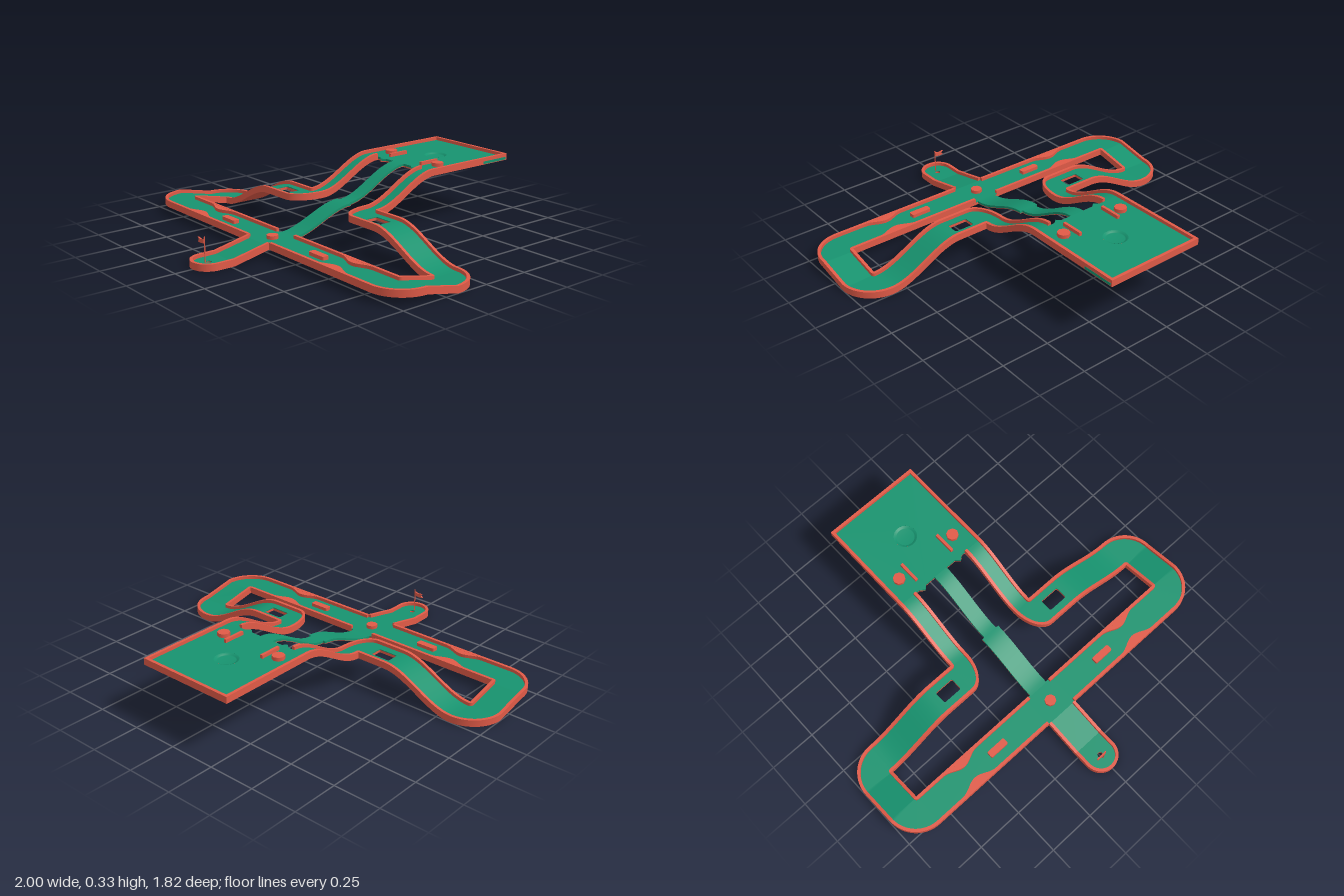
import * as THREE from 'three';

const red = new THREE.MeshStandardMaterial({ color: 0xe05a47 });
const green = new THREE.MeshStandardMaterial({ color: 0x17936f });
const greenThin = new THREE.MeshStandardMaterial({ color: 0x17936f, side: THREE.DoubleSide });

const RIM = 0.016, FLOOR = 0.018, HIGH = 0.035;   // rim width, floor and rim heights above the lane base
const smooth = (t) => t * t * (3 - 2 * t);

export function createModel() {
  const group = new THREE.Group();

  function add(name, geometry, material, x = 0, y = 0, z = 0) {
    const mesh = new THREE.Mesh(geometry, material);
    mesh.name = name;
    mesh.position.set(x, y, z);
    group.add(mesh);
    return mesh;
  }
  // box given by its limits
  const block = (name, mat, x0, x1, y0, y1, z0, z1) =>
    add(name, new THREE.BoxGeometry(x1 - x0, y1 - y0, z1 - z0), mat, (x0 + x1) / 2, (y0 + y1) / 2, (z0 + z1) / 2);

  // flat plate from an outline in x and z
  function plate(name, shape, y0, y1, mat) {
    const g = new THREE.ExtrudeGeometry(shape, { depth: y1 - y0, bevelEnabled: false, curveSegments: 24 });
    g.rotateX(Math.PI / 2);
    return add(name, g, mat, 0, y1, 0);
  }
  const outline = (pts) => new THREE.Shape(pts.map(([x, z]) => new THREE.Vector2(x, z)));
  const rect = (x0, x1, z0, z1) => outline([[x0, z0], [x1, z0], [x1, z1], [x0, z1]]);
  function roundRect(x0, x1, z0, z1, r) {
    const s = new THREE.Shape();
    s.absarc(x1 - r, z1 - r, r, 0, Math.PI / 2);
    s.absarc(x0 + r, z1 - r, r, Math.PI / 2, Math.PI);
    s.absarc(x0 + r, z0 + r, r, Math.PI, Math.PI * 1.5);
    s.absarc(x1 - r, z0 + r, r, Math.PI * 1.5, Math.PI * 2);
    return s;
  }

  // skin rows of profile points, with sharp edges along the sweep
  function sweep(rows, caps, closed, flip) {
    const pos = [], idx = [], n = rows[0].length;
    const tri = (a, b, c) => (flip ? idx.push(a, c, b) : idx.push(a, b, c));
    for (let j = 0; j < (closed ? n : n - 1); j++) {
      const base = pos.length / 3;
      rows.forEach((r) => pos.push(...r[j], ...r[(j + 1) % n]));
      for (let i = 0; i < rows.length - 1; i++) {
        const a = base + i * 2;
        tri(a, a + 2, a + 1);
        tri(a + 2, a + 3, a + 1);
      }
    }
    [rows[0], rows[rows.length - 1]].forEach((r, end) => caps.forEach((q) => {
      const b = pos.length / 3;
      q.forEach((k) => pos.push(...r[k]));
      if (end) { tri(b, b + 2, b + 1); tri(b, b + 3, b + 2); }
      else { tri(b, b + 1, b + 2); tri(b, b + 2, b + 3); }
    }));
    const g = new THREE.BufferGeometry();
    g.setAttribute('position', new THREE.Float32BufferAttribute(pos, 3));
    g.setIndex(idx);
    g.computeVertexNormals();
    return g;
  }

  // lane with two rims; each section is [leftX, leftZ, rightX, rightZ, baseY]
  function lane(name, sections, side = 1) {
    const body = [], turf = [];
    for (const [lx, lz, rx, rz, y] of sections) {
      const w = Math.hypot(rx - lx, rz - lz);
      const p = (d, h) => [side * (lx + (rx - lx) * d / w), y + h, lz + (rz - lz) * d / w];
      body.push([p(0, 0), p(0, HIGH), p(RIM, HIGH), p(RIM, 0.014), p(w - RIM, 0.014), p(w - RIM, HIGH), p(w, HIGH), p(w, 0)]);
      turf.push([p(RIM, FLOOR), p(w - RIM, FLOOR)]);
    }
    const caps = [[0, 1, 2, 3], [0, 3, 4, 7], [4, 5, 6, 7]];
    add(name + 'Body', sweep(body, caps, true, side < 0), red);
    add(name + 'Turf', sweep(turf, [], false, side < 0), green);
  }

  // side lanes
  const N = 18, upper = [], loop = [];
  for (let i = 0; i <= N; i++) {
    const z = -0.37 + 0.37 * i / N;
    upper.push([0.165, z, 0.27, z, 0.29 - 0.145 * smooth(i / N)]);
  }
  for (let i = 1; i <= N; i++) {
    const a = i / N * Math.PI / 2;
    upper.push([0.27 - 0.105 * Math.cos(a), 0.175 * Math.sin(a), 0.27, 0, 0.145]);
  }
  for (let i = 0; i <= N; i++) {
    const x = 0.43 + 0.395 * i / N;
    loop.push([x, 0.175, x, 0, 0.145 * (1 - smooth(i / N))]);
  }
  for (const [cz, a0, y] of [[0.175, -Math.PI / 2, 0], [0.36, 0, 0.04]]) {
    for (let i = 0; i <= N; i++) {
      const a = a0 + i / N * Math.PI / 2;
      loop.push([0.825, cz, 0.825 + 0.175 * Math.cos(a), cz + 0.175 * Math.sin(a), y]);
    }
  }
  loop.push([0.09, 0.36, 0.09, 0.535, 0.04]);

  for (const s of [1, -1]) {
    lane('upperLane', upper, s);
    lane('outerLane', loop, s);
    const span = (a, b) => (s > 0 ? [a, b] : [-b, -a]);

    // raised straight with a slot cut through
    const [x0, x1] = span(0.27, 0.43), [h0, h1] = span(0.31, 0.418);
    const base = rect(x0, x1, 0, 0.175), turf = rect(x0, x1, RIM, 0.175 - RIM);
    for (const shape of [base, turf]) shape.holes.push(roundRect(h0, h1, 0.052, 0.12, 0.008));
    plate('slotBase', base, 0.145, 0.159, red);
    plate('slotTurf', turf, 0.159, 0.145 + FLOOR, green);
    block('slotRim', red, x0, x1, 0.145, 0.18, 0, RIM);
    block('slotRim', red, x0, x1, 0.145, 0.18, 0.175 - RIM, 0.175);

    // narrowing bulges on the front lane
    for (const [z, d] of [[0.365, 1], [0.53, -1]]) {
      const pts = [];
      for (let i = 0; i <= 16; i++) {
        pts.push([s * (0.44 + 0.22 * i / 16), z + d * (0.011 + 0.017 * (1 - Math.cos(i / 8 * Math.PI)) / 1.0)]);
      }
      pts.push([s * 0.66, z], [s * 0.44, z]);
      plate('laneBulge', outline(pts), 0.05, 0.0745, red);
    }

    // obstacles
    plate('laneBar', roundRect(...span(0.31, 0.42), 0.433, 0.469, 0.008), 0.05, 0.076, red);
    add('platformPost', new THREE.CylinderGeometry(0.032, 0.032, 0.022, 8), red, s * 0.18, 0.316, -0.48);
    block('platformBar', red, ...span(0.112, 0.127), 0.305, 0.326, -0.532, -0.415);

    // platform side rim and rim stubs beside the ramp mouth
    block('platformRim', red, ...span(0.27 - RIM, 0.27), 0.29, 0.325, -0.908, -0.37);
    block('rimStub', red, ...span(0.07, 0.09), 0.04, 0.075, 0.36, 0.36 + RIM);
  }

  // middle of the front lane
  block('crossingBase', red, -0.09, 0.09, 0.04, 0.054, 0.36, 0.535);
  block('crossingTurf', green, -0.09, 0.09, 0.054, 0.04 + FLOOR, 0.36, 0.535);
  add('crossingPost', new THREE.CylinderGeometry(0.03, 0.03, 0.024, 8), red, 0, 0.064, 0.45);

  // upper platform with cup
  const edge = [[-0.27, -0.908], [0.27, -0.908], [0.27, -0.37], [0.145, -0.37], [0.12, -0.35], [0.1, -0.37],
    [-0.1, -0.37], [-0.12, -0.35], [-0.145, -0.37], [-0.27, -0.37]];
  plate('platformBase', outline(edge), 0.29, 0.297, red);
  const top = outline(edge.map(([x, z]) => [x * 0.99, Math.max(z, -0.9)]));
  top.holes.push(new THREE.Path().absarc(0, -0.64, 0.06, 0, Math.PI * 2));
  plate('platformTurf', top, 0.297, 0.308, green);
  const cup = [[0, 0.2985], [0.046, 0.2985], [0.048, 0.303], [0.06, 0.308]].map((p) => new THREE.Vector2(...p));
  add('platformCup', new THREE.LatheGeometry(cup, 32), greenThin, 0, 0, -0.64);
  block('platformBackRim', red, -0.27, 0.27, 0.29, 0.325, -0.908, -0.908 + RIM);
  block('platformSideStripe', green, 0.269, 0.271, 0.293, 0.307, -0.9, -0.73);

  // centre ramp in two steps, without rims
  function ramp(name, w, z0, z1, y0, y1) {
    for (const [part, mat, a, b] of [['Turf', green, 0, 0.012], ['Underside', red, 0.012, 0.015]]) {
      const rows = [];
      for (let i = 0; i <= N; i++) {
        const z = z0 + (z1 - z0) * i / N, y = y0 + (y1 - y0) * smooth(i / N);
        rows.push([[-w, y - b, z], [-w, y - a, z], [w, y - a, z], [w, y - b, z]]);
      }
      add(name + part, sweep(rows, [[0, 1, 2, 3]], true), mat);
    }
  }
  ramp('upperRamp', 0.04, -0.37, 0, 0.308, 0.165);
  ramp('lowerRamp', 0.055, 0, 0.365, 0.165, 0.058);

  // finishing tongue with hole
  lane('tongue', [[-0.09, 0.535, 0.09, 0.535, 0.04], [-0.09, 0.73, 0.09, 0.73, 0]]);
  const tongueShape = (r) => {
    const s = new THREE.Shape();
    s.moveTo(-r, 0.73);
    s.lineTo(-r, 0.817);
    s.absarc(0, 0.817, r, Math.PI, 0, true);
    s.lineTo(r, 0.73);
    return s;
  };
  const inner = 0.09 - RIM;
  const end = tongueShape(0.09), endTurf = tongueShape(inner), endRim = tongueShape(0.09);
  for (const s of [end, endTurf]) s.holes.push(new THREE.Path().absarc(0, 0.817, 0.014, 0, Math.PI * 2));
  endRim.lineTo(inner, 0.73);
  endRim.lineTo(inner, 0.817);
  endRim.absarc(0, 0.817, inner, 0, Math.PI, false);
  endRim.lineTo(-inner, 0.73);
  plate('tongueEndBase', end, 0, 0.014, red);
  plate('tongueEndTurf', endTurf, 0.014, FLOOR, green);
  plate('tongueEndRim', endRim, 0, HIGH, red);

  // flag
  add('flagPole', new THREE.CylinderGeometry(0.003, 0.003, 0.13, 8), red, 0, 0.079, 0.837);
  const flag = outline([[0, 0.134], [-0.025, 0.127], [-0.052, 0.133], [-0.042, 0.121], [-0.052, 0.11], [-0.025, 0.108], [0, 0.113]]);
  add('flag', new THREE.ExtrudeGeometry(flag, { depth: 0.008, bevelEnabled: false }), red, 0, 0, 0.833);

  return group;
}
